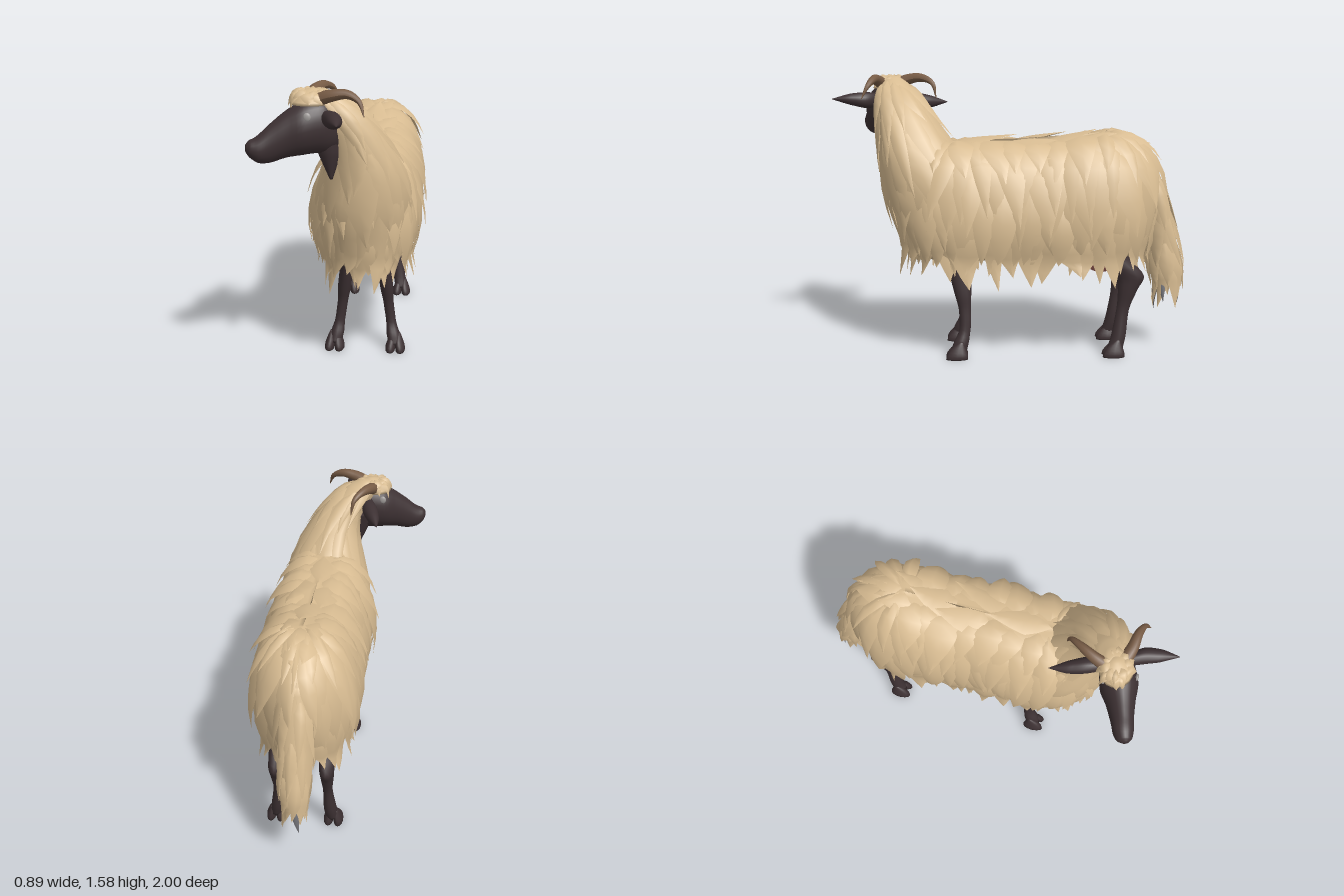
import * as THREE from 'three';

const V = (x, y, z) => new THREE.Vector3(x, y, z);
const X = V(1, 0, 0), Y = V(0, 1, 0), Z = V(0, 0, 1);
const CX = 0.115; // body centre line

// small seeded random
let seed = 7;
const rnd = () => ((seed = (seed * 16807) % 2147483647) / 2147483647);
const jit = (a) => (rnd() - 0.5) * 2 * a;

const material = (name, color, side = THREE.FrontSide) => {
  const m = new THREE.MeshStandardMaterial({ color, side });
  m.name = name;
  return m;
};

function toGeometry({ pos, idx }) {
  const g = new THREE.BufferGeometry();
  g.setAttribute('position', new THREE.Float32BufferAttribute(pos, 3));
  g.setIndex(idx);
  g.computeVertexNormals();
  return g;
}

// surface from rings [x, y, z, radiusA, radiusB] with A x B along the path; past v = 1 it hangs straight down
function column(rings, A = X, B = Z) {
  const centre = new THREE.CatmullRomCurve3(rings.map((r) => V(r[0], r[1], r[2])));
  const radii = new THREE.CatmullRomCurve3(rings.map((r) => V(r[3], r[4], 0)));
  return (s, v) => {
    const t = Math.min(v, 1), a = s * Math.PI * 2, r = radii.getPoint(t);
    const p = centre.getPoint(t).addScaledVector(A, Math.cos(a) * r.x).addScaledVector(B, Math.sin(a) * r.y);
    p.y -= Math.max(0, v - 1) * 0.8;
    return p;
  };
}

// fleece outline: straight flanks, elliptic chest and tapering rump, s runs round it from 0 to 3.4
const profile = new THREE.CatmullRomCurve3([
  V(1.212, 0, 0.02), V(1.2, 0.1, 0.12), V(1.12, 0.19, 0.255), V(1.0, 0.238, 0.32),
  V(0.85, 0.262, 0.33), V(0.7, 0.25, 0.3), V(0.57, 0.2, 0.24)]);
function bodySurface(s, v) {
  const { x: y, y: w, z: d } = profile.getPoint(Math.min(v, 1));
  s = ((s % 3.4) + 3.4) % 3.4;
  let x, z;
  if (s < 0.8) { x = w; z = -0.5 + s; }
  else if (s < 1.7) { const a = ((s - 0.8) / 0.9) * Math.PI; x = w * Math.cos(a); z = 0.3 + d * Math.sin(a); }
  else if (s < 2.5) { x = -w; z = 0.3 - (s - 1.7); }
  else {
    const a = ((s - 2.5) / 0.9) * Math.PI, c = Math.cos(a);
    x = -w * Math.sign(c) * Math.pow(Math.abs(c), 1.35);
    z = -0.5 - d * Math.sin(a);
  }
  const rump = THREE.MathUtils.smoothstep(-z, 0.2, 0.55) * 0.045 * Math.max(0, (y - 0.6) / 0.6);
  return V(CX + x, y + rump - Math.max(0, v - 1) * 0.8, z);
}

// closed skin over a surface, with both ends capped
function loft(P, ns = 16, nv = 20, sMax = 1) {
  const pos = [], idx = [], ends = [V(0, 0, 0), V(0, 0, 0)];
  for (let j = 0; j <= nv; j++) for (let i = 0; i < ns; i++) {
    const p = P((i / ns) * sMax, j / nv);
    pos.push(p.x, p.y, p.z);
    if (j === 0) ends[0].addScaledVector(p, 1 / ns);
    if (j === nv) ends[1].addScaledVector(p, 1 / ns);
  }
  const c0 = ns * (nv + 1);
  ends.forEach((e) => pos.push(e.x, e.y, e.z));
  for (let i = 0; i < ns; i++) {
    const n = (i + 1) % ns;
    for (let j = 0; j < nv; j++) {
      const a = j * ns + i, b = j * ns + n;
      idx.push(a, b, a + ns, b, b + ns, a + ns);
    }
    idx.push(c0, n, i, c0 + 1, nv * ns + i, nv * ns + n);
  }
  return toGeometry({ pos, idx });
}

// one pointed, ridged lock of wool lying on a surface
const LOCK = [0.6, 1, 0.95, 0.7, 0.36, 0];
function addLock(out, P, s, v0, v1, w, lift) {
  const base = out.pos.length / 3, lean = jit(w * 0.7);
  LOCK.forEach((k, i) => {
    const t = i / 5, v = v0 + (v1 - v0) * t, sc = s + lean * t * t;
    const ds = P(sc + 0.01, v).sub(P(sc - 0.01, v));
    const dv = P(sc, v + 0.01).sub(P(sc, v - 0.01));
    const n = ds.cross(dv).normalize();
    for (let e = -1; e <= 1; e++) {
      const p = P(sc + e * w * k, v).addScaledVector(n, -0.008 + lift * t + (e ? 0 : 0.018 * k));
      out.pos.push(p.x, p.y, p.z);
    }
    if (i < 5) for (let e = 0; e < 2; e++) {
      const a = base + i * 3 + e;
      out.idx.push(a, a + 1, a + 3, a + 1, a + 4, a + 3);
    }
  });
}

// chosen locks, each [s, v0, v1, halfWidth, lift]
function lockList(P, list) {
  const out = { pos: [], idx: [] };
  list.forEach((l) => addLock(out, P, ...l));
  return toGeometry(out);
}

// rows [start, end] of uneven locks all round a surface
function lockRows(P, rows, count, sMax, w, lift) {
  const list = [];
  rows.forEach(([v0, v1], r) => {
    for (let i = 0; i < count; i++) {
      const s = ((i + (r % 2) * 0.5 + jit(0.3)) / count) * sMax;
      list.push([s, v0 + jit(0.04), v1 + jit(0.07), w * (1 + jit(0.3)), lift * (1 + jit(0.45))]);
    }
  });
  return lockList(P, list);
}

// tapering horn along a path
function hornGeometry(points, r) {
  const curve = new THREE.CatmullRomCurve3(points), n = 24, sides = 10;
  const g = new THREE.TubeGeometry(curve, n, r, sides), p = g.attributes.position;
  for (let i = 0; i < p.count; i++) {
    const t = Math.floor(i / (sides + 1)) / n, c = curve.getPointAt(t);
    const q = V(0, 0, 0).fromBufferAttribute(p, i).sub(c).multiplyScalar(1 - 0.95 * Math.pow(t, 1.5)).add(c);
    p.setXYZ(i, q.x, q.y, q.z);
  }
  g.computeVertexNormals();
  return g;
}

export function createModel() {
  seed = 7;
  const model = new THREE.Group();
  const wool = material('cream wool', 0xd8bc92, THREE.DoubleSide);
  const skin = material('dark skin', 0x3d3133);
  const horn = material('brown horn', 0x785c46);
  const pink = material('udder pink', 0xab6860);
  const grey = material('grey wool tips', 0x77777c, THREE.DoubleSide);
  const eyeGrey = material('eye grey', 0xa09c9a);
  const add = (name, geometry, mat, parent = model) => {
    const m = new THREE.Mesh(geometry, mat);
    m.name = name;
    parent.add(m);
    return m;
  };

  // fleece
  add('bodyFleece', loft(bodySurface, 68, 24, 3.4), wool);
  add('bodyLocks', lockRows(bodySurface,
    [[0.07, 0.5], [0.2, 0.68], [0.36, 0.84], [0.52, 0.97], [0.66, 1.09], [0.77, 1.14]], 29, 3.4, 0.075, 0.058), wool);
  const belly = add('belly', new THREE.SphereGeometry(1, 28, 16), wool);
  belly.position.set(CX, 0.63, -0.08);
  belly.scale.set(0.22, 0.105, 0.6);

  // tufts lying along the back
  const spine = column([[CX, 1.11, 0.4, 0.1, 0.16], [CX, 1.11, 0, 0.1, 0.17], [CX, 1.125, -0.35, 0.1, 0.17],
    [CX, 1.145, -0.6, 0.1, 0.15], [CX, 1.06, -0.78, 0.1, 0.11]], Y, X);
  const tufts = [];
  for (const [v, s] of [[0.05, 0], [0.2, 0.07], [0.25, -0.06], [0.4, 0], [0.5, 0.08], [0.55, -0.07], [0.65, 0.01], [0.74, -0.06], [0.76, 0.07]])
    tufts.push([s, v, v + 0.23, 0.07, 0.045]);
  add('backTufts', lockList(spine, tufts), wool);

  const neck = column([
    [-0.09, 1.56, 0.665, 0.03, 0.03], [-0.06, 1.52, 0.655, 0.085, 0.08], [0.01, 1.44, 0.625, 0.105, 0.12],
    [0.08, 1.32, 0.58, 0.125, 0.155], [0.12, 1.12, 0.5, 0.2, 0.22], [0.115, 0.9, 0.42, 0.24, 0.27],
    [0.115, 0.65, 0.38, 0.2, 0.23]]);
  add('neckFleece', loft(neck, 24, 24), wool);
  add('neckLocks', lockRows(neck, [[0.15, 0.55], [0.36, 0.76], [0.55, 0.93], [0.7, 1.06], [0.82, 1.18]], 11, 1, 0.062, 0.032), wool);

  const cap = column([[-0.12, 1.565, 0.685, 0.015, 0.015], [-0.13, 1.545, 0.69, 0.075, 0.065], [-0.135, 1.49, 0.695, 0.1, 0.09]]);
  add('pollFleece', loft(cap, 18, 8), wool);
  add('pollLocks', lockRows(cap, [[0.2, 0.85], [0.45, 1.03]], 9, 1, 0.07, 0.022), wool);

  // tail
  const tail = column([
    [CX, 1.08, -0.76, 0.06, 0.06], [CX, 0.92, -0.815, 0.085, 0.065], [CX, 0.7, -0.86, 0.085, 0.075],
    [CX, 0.5, -0.888, 0.075, 0.088], [CX, 0.38, -0.9, 0.055, 0.066]]);
  add('tailFleece', loft(tail, 16, 16), wool);
  add('tailLocks', lockRows(tail, [[0.1, 0.55], [0.35, 0.8], [0.6, 1.05], [0.78, 1.14]], 7, 1, 0.095, 0.03), wool);
  add('tailTips', lockList(tail, [[0.25, 0.95, 1.2, 0.07, 0.012], [0.08, 0.92, 1.12, 0.05, 0.035],
    [0.72, 0.92, 1.17, 0.07, 0.02]]), grey);

  // head, turned to its right
  const side = V(-0.33, 0, -0.94).normalize();
  const head = column([
    [0, 1.36, 0.68, 0.1, 0.05], [-0.08, 1.38, 0.7, 0.14, 0.09], [-0.17, 1.37, 0.73, 0.135, 0.1],
    [-0.25, 1.342, 0.76, 0.116, 0.077], [-0.33, 1.298, 0.79, 0.094, 0.06], [-0.385, 1.275, 0.81, 0.066, 0.054],
    [-0.422, 1.28, 0.822, 0.042, 0.04], [-0.438, 1.284, 0.83, 0.018, 0.016]], Y, side);
  add('head', loft(head, 24, 28), skin);
  add('throat', loft(column([[-0.06, 1.36, 0.67, 0.08, 0.08], [-0.04, 1.24, 0.675, 0.06, 0.06], [-0.03, 1.1, 0.68, 0.008, 0.02]])), skin);
  for (const [name, s] of [['leftEye', 0.835], ['rightEye', 0.165]]) {
    const eye = add(name, new THREE.SphereGeometry(0.022, 12, 8), eyeGrey);
    eye.position.copy(head(s, 0.272));
    eye.scale.set(0.9, 1.05, 0.45);
  }

  // ears
  add('leftEar', loft(column([
    [-0.06, 1.43, 0.73, 0.025, 0.03], [-0.01, 1.43, 0.81, 0.045, 0.045], [0.012, 1.437, 0.9, 0.036, 0.032],
    [0.03, 1.44, 1.0, 0.002, 0.002]], X, Y)), skin);
  add('rightEar', loft(column([
    [-0.1, 1.43, 0.65, 0.03, 0.025], [-0.125, 1.42, 0.54, 0.044, 0.045], [-0.15, 1.41, 0.46, 0.036, 0.036],
    [-0.18, 1.405, 0.36, 0.002, 0.002]], Y, X)), skin);

  // horns
  add('leftHorn', hornGeometry([V(-0.1, 1.51, 0.72), V(-0.02, 1.54, 0.75), V(0.06, 1.55, 0.765), V(0.12, 1.52, 0.79), V(0.148, 1.45, 0.825)], 0.036), horn);
  add('rightHorn', hornGeometry([V(-0.14, 1.5, 0.67), V(-0.12, 1.54, 0.58), V(-0.08, 1.55, 0.5), V(-0.04, 1.52, 0.44), V(-0.025, 1.44, 0.42)], 0.036), horn);

  // legs with cloven feet: rings are [offset from centre line, y, z, rx, rz]
  const front = [[0.09, 0.7, 0.31, 0.05, 0.1], [0.105, 0.5, 0.29, 0.038, 0.068], [0.12, 0.36, 0.275, 0.037, 0.047],
    [0.13, 0.27, 0.265, 0.029, 0.034], [0.145, 0.16, 0.265, 0.028, 0.032], [0.158, 0.09, 0.285, 0.037, 0.042], [0.168, 0.04, 0.3, 0.036, 0.045]];
  const rear = [[0.12, 0.72, -0.51, 0.08, 0.13], [0.135, 0.58, -0.555, 0.055, 0.095], [0.14, 0.455, -0.665, 0.042, 0.082],
    [0.14, 0.38, -0.655, 0.036, 0.056], [0.14, 0.26, -0.628, 0.027, 0.036], [0.15, 0.11, -0.605, 0.037, 0.042], [0.16, 0.04, -0.585, 0.036, 0.045]];
  for (const m of [1, -1]) for (const [name, rings] of [['FrontLeg', front], ['RearLeg', rear]]) {
    const leg = new THREE.Group();
    leg.name = (m > 0 ? 'left' : 'right') + name;
    model.add(leg);
    add('shank', loft(column(rings.map(([o, ...r]) => [CX + m * o, ...r])), 12, 24), skin, leg);
    const [o, , z] = rings[6];
    for (const k of [-1, 1]) {
      const x = CX + m * (o + 0.005) + k * 0.02;
      add('toe', loft(column([[x, 0.095, z - 0.015, 0.006, 0.01], [x, 0.06, z, 0.022, 0.04],
        [x + k * 0.007, 0.02, z + 0.008, 0.028, 0.06], [x + k * 0.008, 0, z + 0.01, 0.027, 0.062]]), 12, 8), skin, leg);
    }
  }

  // udder
  const udder = add('udder', new THREE.SphereGeometry(0.11, 20, 14), pink);
  udder.position.set(CX, 0.555, -0.52);
  udder.scale.set(0.8, 0.95, 1.1);
  for (const m of [1, -1]) {
    const x = CX + m * 0.04;
    add('teat', loft(column([[x, 0.5, -0.57, 0.022, 0.022], [x, 0.45, -0.575, 0.015, 0.015], [x + m * 0.006, 0.415, -0.58, 0.008, 0.008]]), 10, 8), pink);
  }
  return model;
}
